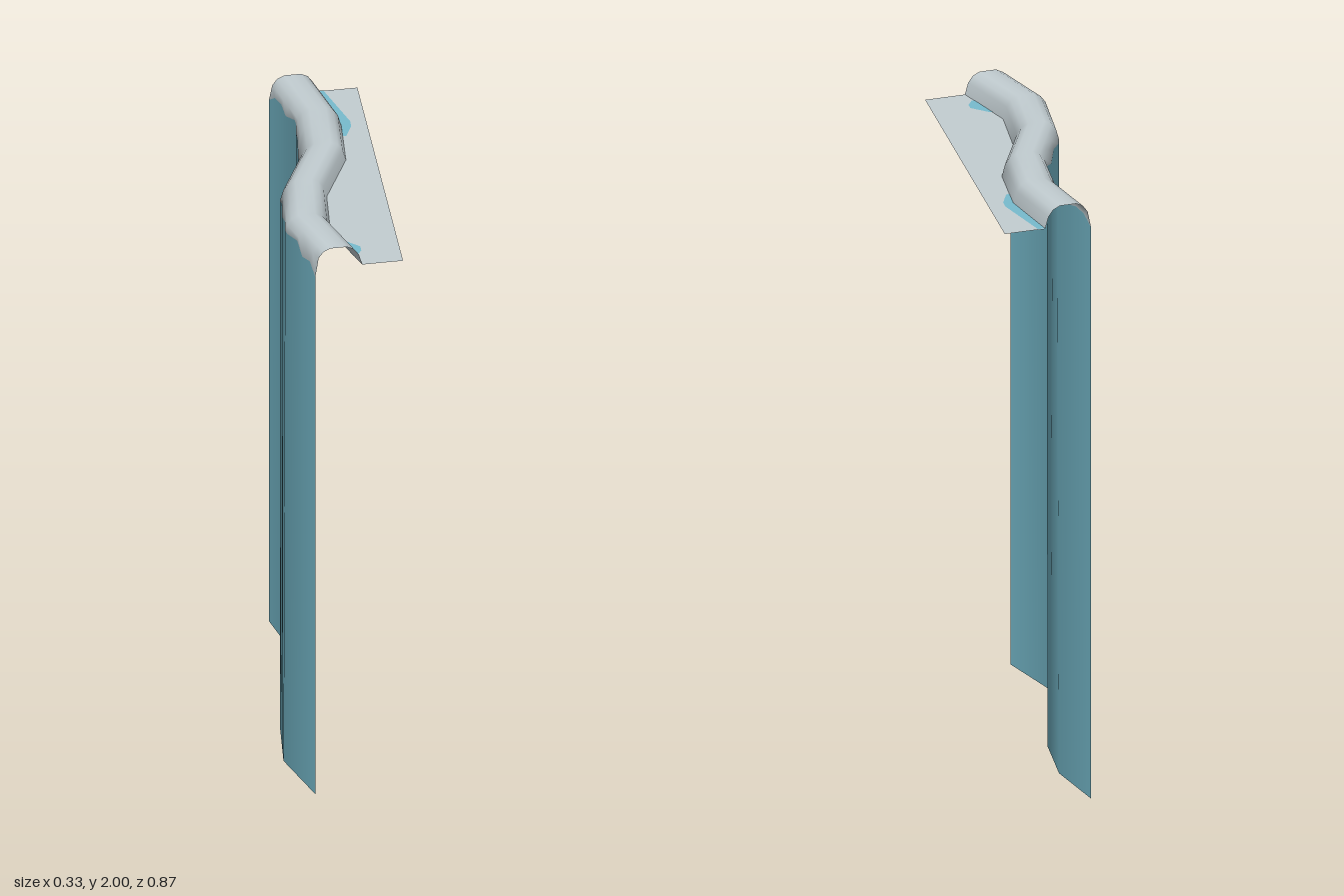
import * as THREE from 'three';

// Plan-view wave: [z, x] of the sheet's foot
const wave = [[-0.433, -0.1], [-0.256, -0.052], [-0.085, -0.065], [0.085, -0.149], [0.256, -0.165], [0.433, -0.098]];
// Rolled lip cross-section: [offset in x, y]
const lip = [[0.01, 1.968], [0.024, 1.989], [0.045, 2], [0.07, 2], [0.095, 2], [0.116, 1.989], [0.13, 1.968], [0.14, 1.93]];
// Uneven edge where the foam meets the water: [z, y]
const foamEdge = [[-0.433, 1.915], [-0.4, 1.945], [-0.36, 1.95], [-0.32, 1.935], [-0.27, 1.955], [-0.23, 1.94], [-0.18, 1.945],
  [-0.13, 1.925], [-0.08, 1.94], [-0.03, 1.92], [0.02, 1.94], [0.07, 1.925], [0.12, 1.945], [0.17, 1.935], [0.22, 1.955],
  [0.27, 1.945], [0.32, 1.955], [0.36, 1.925], [0.4, 1.935], [0.433, 1.9]];

// Linear interpolation in a list of [key, value]
function sample(list, t) {
  let i = 0;
  while (i < list.length - 2 && t > list[i + 1][0]) i++;
  const [a, b] = [list[i], list[i + 1]];
  return a[1] + (b[1] - a[1]) * (t - a[0]) / (b[0] - a[0]);
}

// Smoothed slope of the wave at each of its stations
const slopes = wave.map(([z], i) => {
  const a = wave[Math.max(i - 1, 0)], b = wave[Math.min(i + 1, wave.length - 1)];
  return [z, (b[1] - a[1]) / (b[0] - a[0])];
});

// Falling sheet and rolled lip as one skin; group 0 is water, group 1 foam
function curtainGeometry() {
  const zs = [...new Set([...wave, ...foamEdge].map(p => p[0]))].sort((a, b) => a - b);
  const pos = [], nor = [], water = [], foam = [];
  const rows = lip.length + 2;
  zs.forEach((z, k) => {
    const x0 = sample(wave, z), s = sample(slopes, z), edge = sample(foamEdge, z);
    const section = [[0, 0], [Math.max(0, (edge - 1.93) * 0.26), edge], ...lip];
    section.forEach(([dx, y], i) => {
      pos.push(x0 + dx, y, z);
      const a = section[i < 2 ? 0 : i - 1], b = section[i < 2 ? 1 : Math.min(i + 1, rows - 1)];
      const tx = i < 2 ? 0 : b[0] - a[0], ty = b[1] - a[1];
      const n = new THREE.Vector3(-ty, tx, ty * s).normalize();
      nor.push(n.x, n.y, n.z);
      if (k < zs.length - 1 && i < rows - 1) {
        const p = k * rows + i, q = p + rows;
        (i === 0 ? water : foam).push(p, q, p + 1, q, q + 1, p + 1);
      }
    });
  });
  const g = new THREE.BufferGeometry();
  g.setAttribute('position', new THREE.Float32BufferAttribute(pos, 3));
  g.setAttribute('normal', new THREE.Float32BufferAttribute(nor, 3));
  g.setIndex([...water, ...foam]);
  g.addGroup(0, water.length, 0);
  g.addGroup(water.length, foam.length, 1);
  return g;
}

// Flat outline given as [x, z], laid level at height y
function flatPlate(name, outline, y, material) {
  const shape = new THREE.Shape(outline.map(([x, z]) => new THREE.Vector2(x, -z)));
  const mesh = new THREE.Mesh(new THREE.ShapeGeometry(shape).rotateX(-Math.PI / 2), material);
  mesh.position.y = y;
  mesh.name = name;
  return mesh;
}

export function createModel() {
  const water = new THREE.MeshStandardMaterial({ color: 0x78bdcf, side: THREE.DoubleSide });
  water.name = 'water blue';
  const foam = new THREE.MeshStandardMaterial({ color: 0xc4cfd3, side: THREE.DoubleSide });
  foam.name = 'foam grey';

  const group = new THREE.Group();
  group.name = 'waterfall';

  const curtain = new THREE.Mesh(curtainGeometry(), [water, foam]);
  curtain.name = 'waterCurtain';
  group.add(curtain);

  // Level ledge behind the lip, following the wave on its inner side
  const inner = wave.map(([z, x]) => [x + 0.14, z]);
  group.add(flatPlate('ledge', [...inner, [0.164, 0.433], [0.164, -0.433]], 1.93, foam));

  // Clear water showing through the foam, on both faces of the ledge
  const backPatch = [[0.041, -0.433], [0.062, -0.433], [0.117, -0.27], [0.116, -0.245], [0.094, -0.2], [0.084, -0.2], [0.088, -0.256]];
  const frontPatch = [[-0.006, 0.305], [0.004, 0.307], [0.05, 0.345], [0.05, 0.365], [0.033, 0.39], [0.025, 0.387]];
  for (const y of [1.9285, 1.9315]) {
    group.add(flatPlate('backWaterPatch', backPatch, y, water));
    group.add(flatPlate('frontWaterPatch', frontPatch, y, water));
  }
  return group;
}
